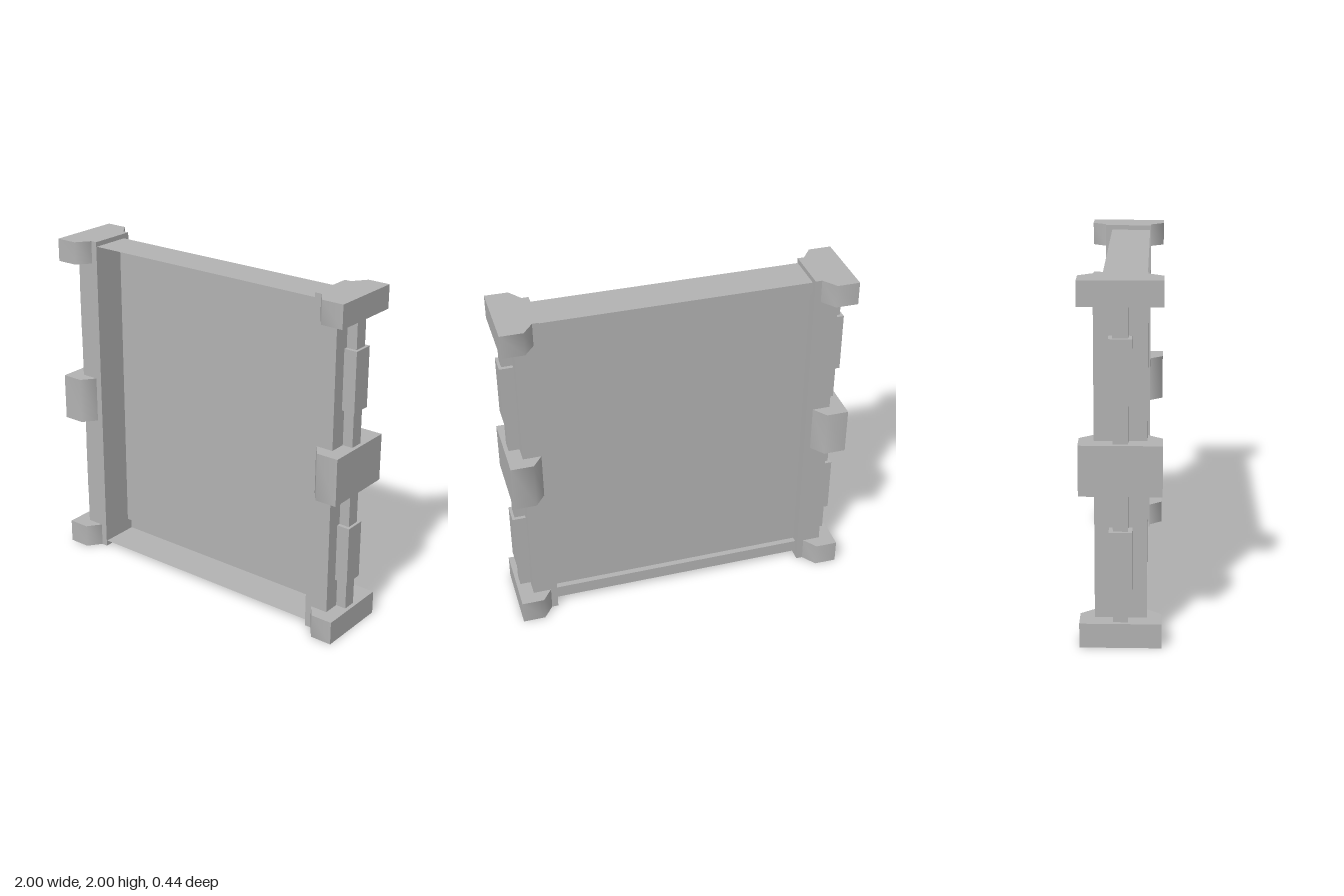
import * as THREE from 'three';
import { toCreasedNormals } from 'three/addons/utils/BufferGeometryUtils.js';

export function createModel() {
  const group = new THREE.Group();
  const grey = new THREE.MeshStandardMaterial({ color: 0xb2b2b2, side: THREE.DoubleSide });
  grey.name = 'grey';

  const add = (parent, name, geometry) => {
    const mesh = new THREE.Mesh(geometry, grey);
    mesh.name = name;
    parent.add(mesh);
    return mesh;
  };
  const box = (parent, name, x0, x1, y0, y1, z) => {
    add(parent, name, new THREE.BoxGeometry(x1 - x0, y1 - y0, z * 2))
      .position.set((x0 + x1) / 2, (y0 + y1) / 2, 0);
  };

  // Folded sheet: bottom flange, stepped back panel, top flange
  const profile = [[0.135, 0.035], [-0.1, 0.035], [-0.1, 0.11], [-0.065, 0.11],
    [-0.065, 1.9], [-0.1, 1.9], [-0.1, 1.972], [0.135, 1.972]];
  const names = ['bottomFlange', 'bottomRail', 'bottomLedge', 'panel', 'topLedge', 'topRail', 'topFlange'];
  const sheet = new THREE.Group();
  sheet.name = 'panelSheet';
  group.add(sheet);
  names.forEach((name, i) => {
    const [z0, y0] = profile[i], [z1, y1] = profile[i + 1];
    const plane = new THREE.PlaneGeometry(1.55, Math.hypot(z1 - z0, y1 - y0));
    const mesh = add(sheet, name, plane);
    mesh.rotation.x = Math.atan2(z1 - z0, y1 - y0);
    mesh.position.set(0, (y0 + y1) / 2, (z0 + z1) / 2);
  });

  // Bracket outline seen from above, flaring towards the outside
  const outline = [[1, -0.22], [1, 0.22], [0.87, 0.22], [0.81, 0.14], [0.81, -0.14], [0.87, -0.22]];
  const bracket = (parent, side, y0, y1) => {
    const shape = new THREE.Shape(outline.map(([x, z]) => new THREE.Vector2(x * side, z)));
    const geo = new THREE.ExtrudeGeometry(shape, { depth: y1 - y0, bevelEnabled: false });
    geo.rotateX(-Math.PI / 2);
    add(parent, 'bracket', toCreasedNormals(geo, 1.0)).position.y = y0;
  };

  // Side posts with edge bar, raised pads and brackets
  for (const side of [-1, 1]) {
    const post = new THREE.Group();
    post.name = side > 0 ? 'leftPost' : 'rightPost';
    group.add(post);
    const part = (name, a, b, y0, y1, z) =>
      box(post, name, Math.min(a * side, b * side), Math.max(a * side, b * side), y0, y1, z);
    part('column', 0.772, 0.915, 0, 2, 0.14);
    part('edgeBar', 0.9, 0.977, 0.1, 1.9, 0.04);
    for (const [y0, y1] of [[0.315, 0.66], [1.35, 1.7]]) part('pad', 0.9, 0.993, y0, y1, 0.062);
    for (const [y0, y1] of [[0, 0.14], [0.862, 1.14], [1.865, 2]]) bracket(post, side, y0, y1);
  }
  return group;
}
